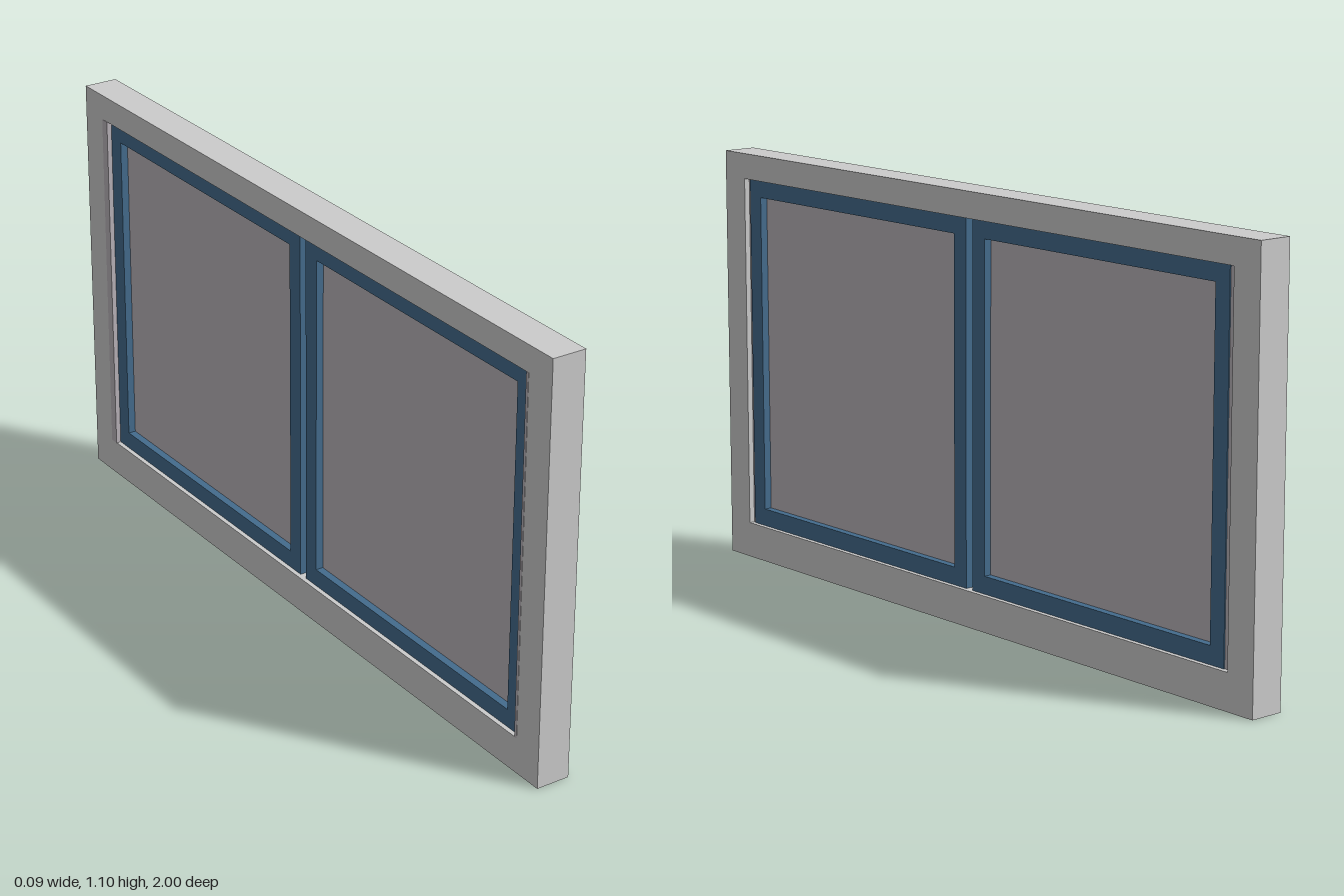
import * as THREE from 'three';

const grey = new THREE.MeshStandardMaterial({ color: 0xcccccc });
const blue = new THREE.MeshStandardMaterial({ color: 0x446c8d });
const pane = new THREE.MeshStandardMaterial({ color: 0xbab4ba });

function rect(target, z0, z1, y0, y1) {
  target.moveTo(-z1, y0);
  target.lineTo(-z0, y0);
  target.lineTo(-z0, y1);
  target.lineTo(-z1, y1);
  target.closePath();
  return target;
}

// Rectangular ring in the z-y plane, centred in depth on x = 0
function ring(name, outer, inner, depth, material) {
  const shape = rect(new THREE.Shape(), ...outer);
  shape.holes.push(rect(new THREE.Path(), ...inner));
  const geo = new THREE.ExtrudeGeometry(shape, { depth, bevelEnabled: false });
  geo.translate(0, 0, -depth / 2);
  geo.rotateY(Math.PI / 2);
  const mesh = new THREE.Mesh(geo, material);
  mesh.name = name;
  return mesh;
}

function slab(name, x0, x1, y0, y1, z0, z1, material) {
  const mesh = new THREE.Mesh(new THREE.BoxGeometry(x1 - x0, y1 - y0, z1 - z0), material);
  mesh.position.set((x0 + x1) / 2, (y0 + y1) / 2, (z0 + z1) / 2);
  mesh.name = name;
  return mesh;
}

export function createModel() {
  const model = new THREE.Group();
  model.name = 'slidingWindow';
  const bottom = 0.094, top = 1.03, rail = 0.046;

  // Outer frame
  model.add(ring('outerFrame', [-1, 1, 0, 1.097], [-0.917, 0.917, bottom, top], 0.09, grey));

  // Thin jamb linings filling the gap beside each sash
  model.add(slab('leftJambLining', -0.046, 0.03, bottom, top, 0.909, 0.917, pane));
  model.add(slab('rightJambLining', -0.046, 0.03, bottom, top, -0.917, -0.893, pane));

  // Two sashes with a narrow open gap between them
  for (const [side, z0, z1] of [['left', 0.021, 0.909], ['right', -0.893, -0.003]]) {
    const sash = new THREE.Group();
    sash.name = side + 'Sash';
    const inner = [z0 + rail, z1 - rail, bottom + rail, top - rail];
    sash.add(ring('sashFrame', [z0, z1, bottom, top], inner, 0.066, blue));
    sash.add(slab('glassPane', -0.013, 0.013, inner[2], inner[3], inner[0], inner[1], pane));
    model.add(sash);
  }
  return model;
}
